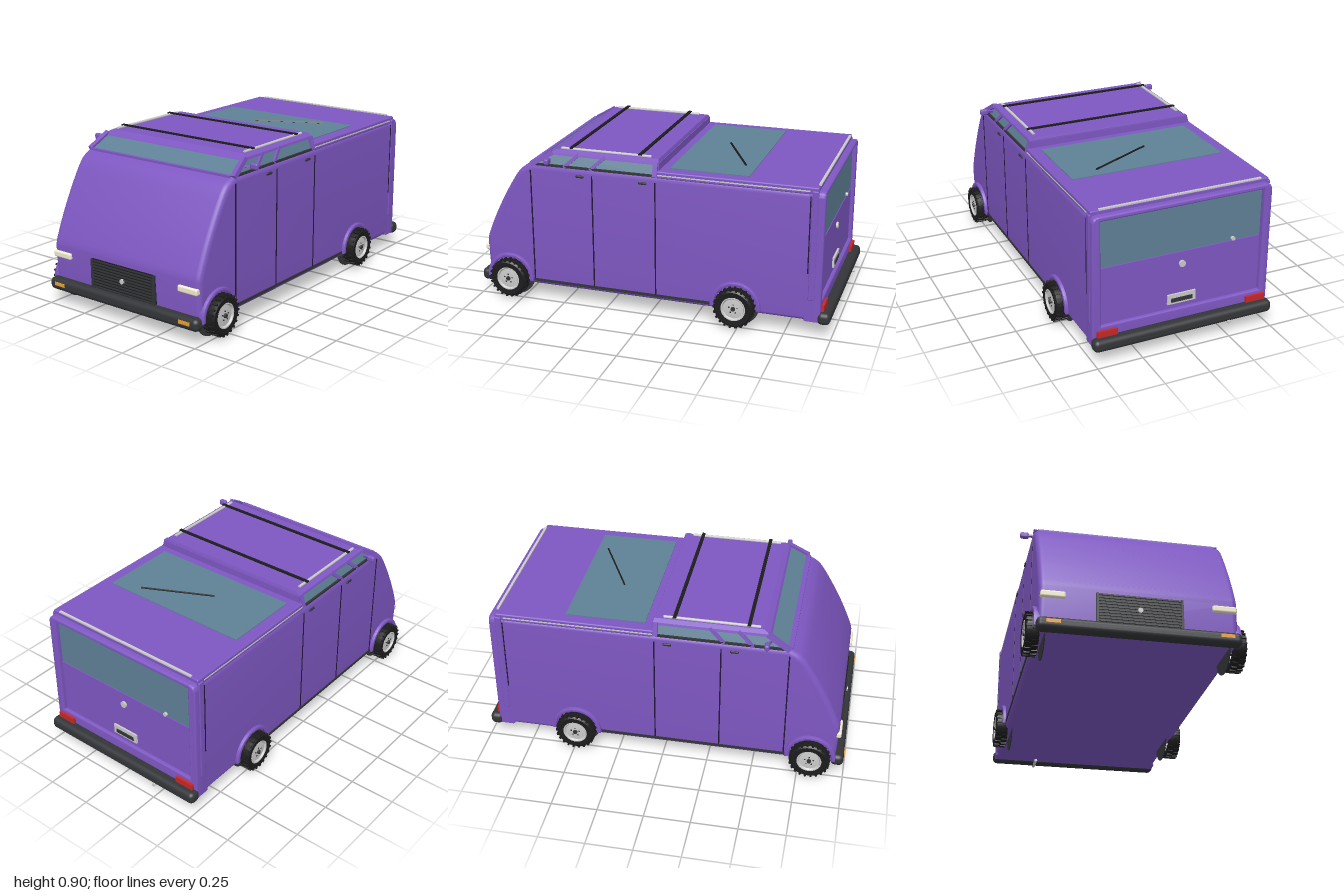
import * as THREE from 'three';
import { toCreasedNormals } from 'three/addons/utils/BufferGeometryUtils.js';
import { RoundedBoxGeometry } from 'three/addons/geometries/RoundedBoxGeometry.js';
import { ConvexGeometry } from 'three/addons/geometries/ConvexGeometry.js';

const mat = (color) => new THREE.MeshStandardMaterial({ color });
const M = {
  paint: mat(0x7e57c2), glass: mat(0x5f8196), black: mat(0x1c1c1e), trim: mat(0x333538),
  seam: mat(0x24163a), chrome: mat(0xcccccc), lamp: mat(0xf3ecd2), amber: mat(0xe8a033), red: mat(0xc62828),
};

export function createModel() {
  const van = new THREE.Group();
  van.name = 'van';

  const add = (name, geometry, material, x = 0, y = 0, z = 0, parent = van) => {
    const mesh = new THREE.Mesh(geometry, material);
    mesh.name = name;
    mesh.position.set(x, y, z);
    parent.add(mesh);
    return mesh;
  };
  const box = (name, w, h, d, material, x, y, z, parent) =>
    add(name, new THREE.BoxGeometry(w, h, d), material, x, y, z, parent);
  const rounded = (name, w, h, d, r, material, x, y, z) =>
    add(name, new RoundedBoxGeometry(w, h, d, 3, r), material, x, y, z);
  // Bar of w x d section between two points
  const bar = (name, a, b, w, d, material) => {
    const from = new THREE.Vector3(...a), to = new THREE.Vector3(...b);
    const mesh = box(name, w, from.distanceTo(to), d, material, 0, 0, 0);
    mesh.position.copy(from).add(to).multiplyScalar(0.5);
    mesh.quaternion.setFromUnitVectors(new THREE.Vector3(0, 1, 0), to.sub(from).normalize());
    return mesh;
  };
  // Disc facing z
  const disc = (name, r, depth, material, x, y, z) => {
    const g = new THREE.CylinderGeometry(r, r, depth, 20).rotateX(Math.PI / 2);
    return add(name, g, material, x, y, z);
  };
  // Tapered block; each level is [y, halfWidth, zFront, zBack]
  const taper = (name, levels, material) => {
    const pts = [];
    for (const [y, w, f, b] of levels)
      for (const x of [-w, w]) pts.push(new THREE.Vector3(x, y, f), new THREE.Vector3(x, y, b));
    return add(name, new ConvexGeometry(pts), material);
  };

  // Main body: side profile extruded across the width with soft edges
  const profile = new THREE.Shape();
  profile.moveTo(-0.9, 0.09);
  profile.lineTo(0.95, 0.09);
  profile.lineTo(0.96, 0.31);
  profile.splineThru([[0.95, 0.36], [0.89, 0.5], [0.81, 0.65], [0.74, 0.755], [0.67, 0.8]]
    .map(([z, y]) => new THREE.Vector2(z, y)));
  profile.lineTo(-0.9, 0.8);
  profile.closePath();
  const bevel = 0.03;
  const bodyGeo = new THREE.ExtrudeGeometry(profile, {
    depth: 1 - 2 * bevel, bevelThickness: bevel, bevelSize: bevel, bevelOffset: -bevel,
    bevelSegments: 5, curveSegments: 24,
  }).translate(0, 0, -0.5 + bevel).rotateY(-Math.PI / 2);
  add('body', toCreasedNormals(bodyGeo, 0.6), M.paint);

  // Rear frame around the recessed tailgate
  const frame = new THREE.Shape();
  frame.moveTo(-0.49, 0.1);
  frame.lineTo(0.49, 0.1);
  frame.lineTo(0.49, 0.77);
  frame.quadraticCurveTo(0.49, 0.797, 0.46, 0.797);
  frame.lineTo(-0.46, 0.797);
  frame.quadraticCurveTo(-0.49, 0.797, -0.49, 0.77);
  frame.closePath();
  const opening = new THREE.Path();
  opening.moveTo(-0.465, 0.19);
  opening.lineTo(-0.465, 0.79);
  opening.lineTo(0.465, 0.79);
  opening.lineTo(0.465, 0.19);
  opening.closePath();
  frame.holes.push(opening);
  const frameGeo = new THREE.ExtrudeGeometry(frame, {
    depth: 0.07, bevelThickness: 0.01, bevelSize: 0.01, bevelSegments: 3,
  }).translate(0, 0, -0.93);
  add('rearFrame', toCreasedNormals(frameGeo, 0.6), M.paint);
  box('tailgate', 0.9, 0.32, 0.03, M.paint, 0, 0.355, -0.905);
  box('tailgateGlass', 0.9, 0.265, 0.024, M.glass, 0, 0.65, -0.905);
  disc('tailgateBadge', 0.018, 0.014, M.chrome, 0, 0.45, -0.924);
  disc('tailgateLock', 0.011, 0.016, M.chrome, -0.29, 0.53, -0.922);
  box('plateHolder', 0.16, 0.055, 0.012, M.chrome, 0, 0.255, -0.924);
  box('plateInset', 0.12, 0.022, 0.006, M.trim, 0, 0.25, -0.931);

  // Rear roof with skylight
  rounded('rearRoof', 0.99, 0.04, 0.86, 0.008, M.paint, 0, 0.807, -0.475);
  box('skylight', 0.86, 0.012, 0.43, M.glass, 0, 0.825, -0.315);
  bar('skylightWiper', [-0.09, 0.834, -0.29], [0.27, 0.834, -0.47], 0.008, 0.008, M.black);
  box('rearRoofStrip', 0.9, 0.008, 0.014, M.chrome, 0, 0.829, -0.9);

  // Glasshouse and front roof
  taper('windows', [[0.79, 0.488, 0.675, -0.04], [0.865, 0.46, 0.55, -0.04]], M.glass);
  taper('frontRoof', [[0.855, 0.476, 0.57, -0.05], [0.868, 0.472, 0.56, -0.05], [0.882, 0.45, 0.53, -0.045]], M.paint);
  box('cabinBack', 0.95, 0.08, 0.02, M.paint, 0, 0.825, -0.045);
  box('cowl', 0.95, 0.012, 0.02, M.paint, 0, 0.797, 0.675);

  for (const s of [-1, 1]) {
    // Window pillars
    for (const [z0, z1, w] of [[0.67, 0.55, 0.026], [0.48, 0.4, 0.018], [0.33, 0.25, 0.018], [-0.035, -0.035, 0.026]])
      bar('windowPillar', [s * 0.486, 0.793, z0], [s * 0.465, 0.865, z1], w, w, M.paint);
    box('windowSill', 0.012, 0.012, 0.71, M.trim, s * 0.487, 0.798, 0.315);

    // Door seams, sill and handles
    for (const z of [0.67, 0.315, -0.04]) box('doorSeam', 0.008, 0.64, 0.007, M.seam, s * 0.498, 0.445, z);
    box('doorSill', 0.012, 0.016, 1.04, M.trim, s * 0.497, 0.12, 0.16);
    for (const z of [0.385, 0.03]) rounded('doorHandle', 0.014, 0.014, 0.045, 0.005, M.trim, s * 0.5, 0.755, z);

    // Rear corner mouldings
    box('roofSideStrip', 0.006, 0.007, 0.81, M.chrome, s * 0.494, 0.806, -0.455);
    box('cornerSeam', 0.008, 0.42, 0.006, M.seam, s * 0.498, 0.57, -0.865);
    rounded('cornerMoulding', 0.014, 0.6, 0.035, 0.006, M.paint, s * 0.497, 0.51, -0.888);

    // Mirrors
    bar('mirrorArm', [s * 0.47, 0.825, 0.57], [s * 0.52, 0.835, 0.555], 0.012, 0.012, M.paint);
    rounded('mirror', 0.046, 0.034, 0.026, 0.01, M.paint, s * 0.532, 0.834, 0.555);

    // Roof rails
    const rail = new THREE.CylinderGeometry(0.008, 0.008, 0.51, 10).rotateX(Math.PI / 2);
    add('roofRail', rail, M.chrome, s * 0.435, 0.885, 0.255);

    // Lamps
    rounded('headlight', 0.125, 0.036, 0.04, 0.01, M.lamp, s * 0.43, 0.278, 0.953);
    box('frontIndicator', 0.07, 0.019, 0.012, M.amber, s * 0.43, 0.118, 0.996 - 0.002);
    box('tailLamp', 0.11, 0.034, 0.02, M.red, s * 0.425, 0.163, -0.945);
  }
  for (const z of [0.06, 0.45]) box('roofCrossbar', 0.9, 0.007, 0.018, M.black, 0, 0.893, z);

  // Bumpers
  rounded('frontBumper', 1.02, 0.068, 0.07, 0.026, M.trim, 0, 0.112, 0.962);
  rounded('rearBumper', 1.02, 0.068, 0.07, 0.026, M.trim, 0, 0.112, -0.957);
  const pipe = new THREE.CylinderGeometry(0.009, 0.009, 0.12, 12).rotateX(Math.PI / 2);
  add('exhaust', pipe, M.chrome, -0.25, 0.083, -0.938);

  // Grille
  box('grille', 0.435, 0.158, 0.02, M.black, 0, 0.227, 0.956);
  for (const x of [-0.212, 0.212]) box('grilleSide', 0.012, 0.158, 0.014, M.trim, x, 0.227, 0.966);
  for (let i = 0; i < 10; i++) box('grilleSlat', 0.42, 0.007, 0.01, M.trim, 0, 0.156 + i * 0.0158, 0.967);
  disc('grilleBadge', 0.013, 0.012, M.chrome, 0, 0.227, 0.972);

  // Wheels, arches and liners, built facing +x and turned for the other side
  const ring = (pts) => new THREE.LatheGeometry(pts.map(([r, h]) => new THREE.Vector2(r, h)), 40).rotateZ(-Math.PI / 2);
  const tyreGeo = toCreasedNormals(ring([[0.066, -0.032], [0.095, -0.035], [0.104, -0.027], [0.106, 0],
    [0.104, 0.027], [0.095, 0.035], [0.066, 0.032], [0.064, 0.018]]), 0.6);
  const rimGeo = toCreasedNormals(ring([[0.068, 0.016], [0.067, 0.033], [0.061, 0.033], [0.055, 0.024],
    [0.025, 0.027], [0.001, 0.027]]), 0.5);
  const arch = new THREE.Shape();
  arch.absarc(0, 0, 0.138, -0.1, Math.PI + 0.1, false);
  arch.absarc(0, 0, 0.116, Math.PI + 0.1, -0.1, true);
  const archGeo = toCreasedNormals(new THREE.ExtrudeGeometry(arch, {
    depth: 0.03, bevelThickness: 0.006, bevelSize: 0.005, bevelOffset: -0.005, bevelSegments: 2, curveSegments: 28,
  }).translate(0, 0, -0.015).rotateY(Math.PI / 2), 0.6);

  for (const z of [0.815, -0.485]) for (const s of [-1, 1]) {
    const wheel = new THREE.Group();
    wheel.name = z > 0 ? 'frontWheel' : 'rearWheel';
    wheel.position.set(s * 0.518, 0.125, z);
    if (s < 0) wheel.rotation.y = Math.PI;
    van.add(wheel);
    add('tyre', tyreGeo, M.black, 0, 0, 0, wheel);
    add('rim', rimGeo, M.chrome, 0, 0, 0, wheel);
    add('hub', new THREE.CylinderGeometry(0.011, 0.013, 0.012, 12).rotateZ(-Math.PI / 2), M.trim, 0.03, 0, 0, wheel);
    for (let i = 0; i < 5; i++) {
      const a = i * Math.PI * 0.4;
      box('wheelBolt', 0.006, 0.006, 0.006, M.trim, 0.028, 0.024 * Math.cos(a), 0.024 * Math.sin(a), wheel);
    }
    // Staggered tread blocks
    for (let i = 0; i < 44; i++) {
      const a = i * Math.PI / 22;
      const block = box('tread', 0.03, 0.012, 0.011, M.black, i % 2 ? 0.017 : -0.017,
        0.105 * Math.cos(a), 0.105 * Math.sin(a), wheel);
      block.rotation.x = a;
    }
    add('wheelArch', archGeo, M.paint, s * 0.497, 0.125, z);
    add('wheelLiner', new THREE.CylinderGeometry(0.125, 0.125, 0.004, 40).rotateZ(Math.PI / 2), M.trim, s * 0.46, 0.125, z);
  }
  return van;
}
